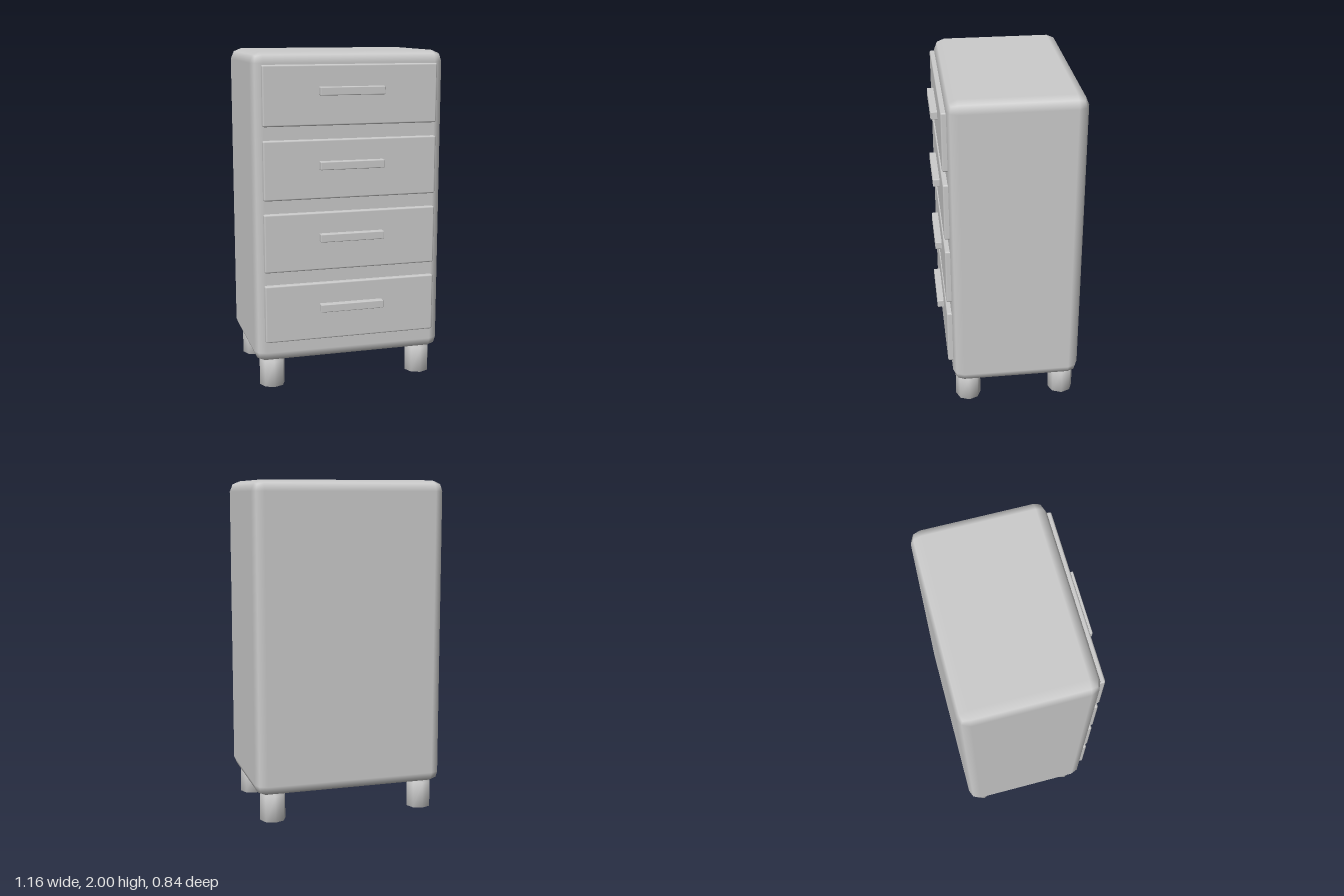
import * as THREE from 'three';
import { mergeVertices } from 'three/addons/utils/BufferGeometryUtils.js';
import { RoundedBoxGeometry } from 'three/addons/geometries/RoundedBoxGeometry.js';

export function createModel() {
  const group = new THREE.Group();
  const grey = new THREE.MeshStandardMaterial({ color: 0xcccccc });
  grey.name = 'light grey';

  function add(name, geometry, x, y, z) {
    const mesh = new THREE.Mesh(geometry, grey);
    mesh.name = name;
    mesh.position.set(x, y, z);
    group.add(mesh);
  }

  // Cabinet body with softly bevelled edges
  add('cabinet', new RoundedBoxGeometry(1.16, 1.84, 0.775, 1, 0.065), 0, 1.08, -0.0325);

  // Four drawer fronts, each with a bar handle set slightly above its middle
  const drawer = new RoundedBoxGeometry(1.046, 0.348, 0.06, 1, 0.01);
  const handle = new RoundedBoxGeometry(0.388, 0.048, 0.05, 1, 0.005);
  for (let i = 0; i < 4; i++) {
    const y = 0.47 + i * 0.4275;
    add('drawerFront', drawer, -0.002, y, 0.353);
    add('drawerHandle', handle, -0.003, y + 0.025, 0.397);
  }

  // Stubby legs, shaded smoothly across sides and caps
  let leg = new THREE.CylinderGeometry(0.077, 0.077, 0.16, 8);
  leg.deleteAttribute('uv');
  leg.deleteAttribute('normal');
  leg = mergeVertices(leg);
  leg.computeVertexNormals();
  for (const x of [-0.466, 0.466]) {
    for (const z of [0.26, -0.325]) add('leg', leg, x, 0.08, z);
  }

  return group;
}
